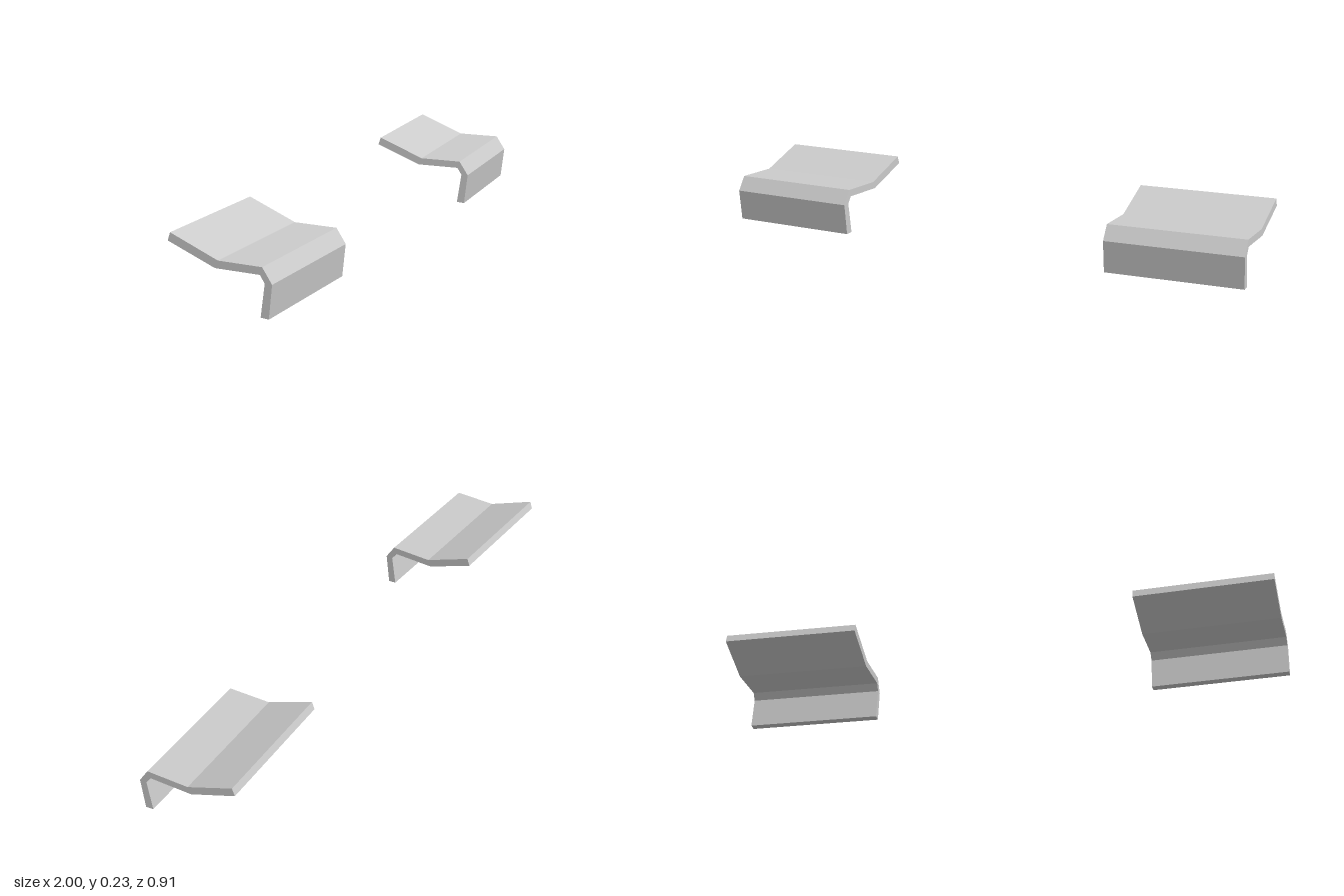
import * as THREE from 'three';

const WIDTH = 0.48;

// Side profile as [z, y], measured from the front edge of the bracket
const PROFILE = [
  // outer face, bottom to back
  [-0.013, 0], [0, 0.11], [-0.033, 0.16], [-0.185, 0.16], [-0.352, 0.227],
  // inner face, back to bottom
  [-0.361, 0.2], [-0.196, 0.135], [-0.041, 0.135], [-0.025, 0.11], [-0.041, 0.002],
];

function bentPlateGeometry() {
  const shape = new THREE.Shape(PROFILE.map(([z, y]) => new THREE.Vector2(z, y)));
  const geometry = new THREE.ExtrudeGeometry(shape, { depth: WIDTH, bevelEnabled: false });
  geometry.translate(0, 0, -WIDTH / 2);
  geometry.rotateY(-Math.PI / 2); // profile runs along z, width along x
  return geometry;
}

export function createModel() {
  const group = new THREE.Group();
  group.name = 'bentPlates';
  const geometry = bentPlateGeometry();
  const material = new THREE.MeshStandardMaterial({ color: 0xcccccc, flatShading: true });

  // The two plates, each turned a little towards +x
  const plates = [
    { name: 'rightPlate', x: -0.675, z: 0.393, turn: 15.4 },
    { name: 'leftPlate', x: 0.774, z: -0.032, turn: 20 },
  ];
  for (const { name, x, z, turn } of plates) {
    const plate = new THREE.Mesh(geometry, material);
    plate.name = name;
    plate.position.set(x, 0, z);
    plate.rotation.y = THREE.MathUtils.degToRad(turn);
    group.add(plate);
  }
  return group;
}
